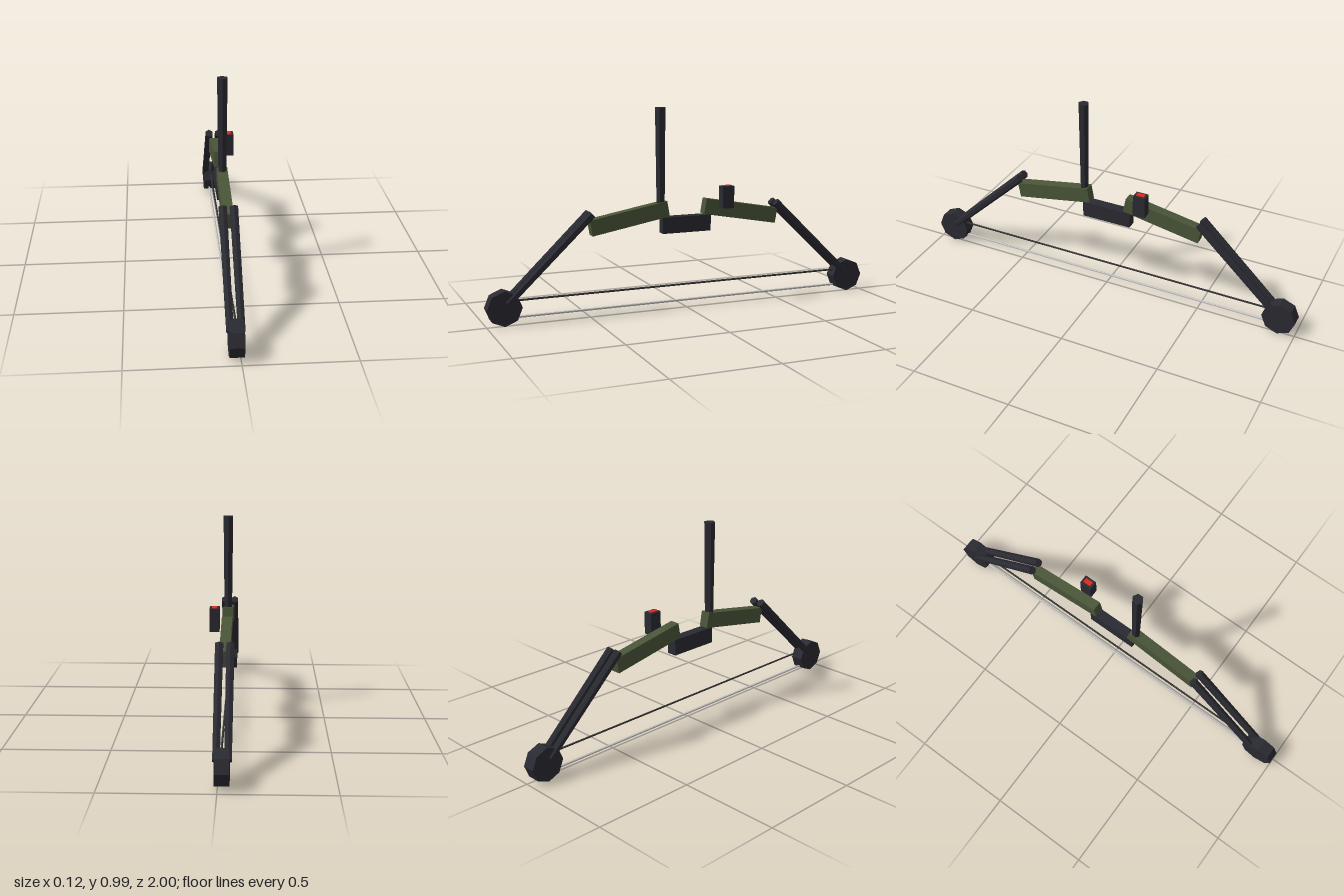
import * as THREE from 'three';

const paint = (name, color) => {
  const m = new THREE.MeshStandardMaterial({ color, flatShading: true });
  m.name = name;
  return m;
};

export function createModel() {
  const model = new THREE.Group();
  model.name = 'compoundBow';
  const dark = paint('charcoal', 0x2a2a32);
  const green = paint('oliveGreen', 0x4a5538);
  const black = paint('stringBlack', 0x333333);
  const grey = paint('cableGrey', 0xc4c4c4);
  const red = paint('sightRed', 0xe02a1c);
  const cx = -0.018; // the bow's centre plane

  const add = (name, geometry, material, x, y, z) => {
    const mesh = new THREE.Mesh(geometry, material);
    mesh.name = name;
    mesh.position.set(x, y, z);
    model.add(mesh);
    return mesh;
  };
  const box = (name, w, h, d, mat, x, y, z) =>
    add(name, new THREE.BoxGeometry(w, h, d), mat, x, y, z);

  // Tapered rod running from point a to point b
  const rod = (name, a, b, ra, rb, sides, mat) => {
    const p = new THREE.Vector3(...a), q = new THREE.Vector3(...b);
    const dir = q.clone().sub(p), mid = p.clone().add(q).multiplyScalar(0.5);
    const mesh = add(name, new THREE.CylinderGeometry(rb, ra, dir.length(), sides), mat, mid.x, mid.y, mid.z);
    mesh.quaternion.setFromUnitVectors(new THREE.Vector3(0, 1, 0), dir.normalize());
    return mesh;
  };

  // Central grip
  box('grip', 0.05, 0.08, 0.254, dark, cx, 0.419, 0);

  // Each half: riser, paired limbs and octagonal cam
  for (const s of [1, -1]) {
    const end = s > 0 ? 'front' : 'rear';
    box(end + 'Riser', 0.05, 0.077, 0.4, green, cx, 0.466, s * 0.295).rotation.x = s * 0.178;
    for (const side of [1, -1]) {
      const x = cx + side * 0.025;
      rod(end + (side > 0 ? 'LeftLimb' : 'RightLimb'),
        [x, 0.5, s * 0.487], [x, 0.106, s * 0.9], 0.021, 0.018, 6, dark);
    }
    const cam = add(end + 'Cam', new THREE.CylinderGeometry(0.084, 0.084, 0.064, 8), dark, cx, 0.0845, s * 0.916);
    cam.rotation.z = Math.PI / 2;
  }

  // Bowstring and cable between the cams
  rod('bowstring', [cx + 0.005, 0.115, -0.9], [cx + 0.005, 0.115, 0.9], 0.005, 0.005, 6, black);
  rod('cable', [cx - 0.004, 0.033, -0.9], [cx - 0.004, 0.033, 0.9], 0.006, 0.006, 6, grey);

  // Stabilizer bar
  rod('stabilizer', [cx, 0.495, 0.13], [cx, 0.993, 0.13], 0.021, 0.027, 6, dark);

  // Sight with its red tip
  box('sight', 0.046, 0.11, 0.062, dark, 0.038, 0.548, -0.198);
  box('sightTip', 0.024, 0.006, 0.04, red, 0.038, 0.603, -0.198);

  return model;
}
